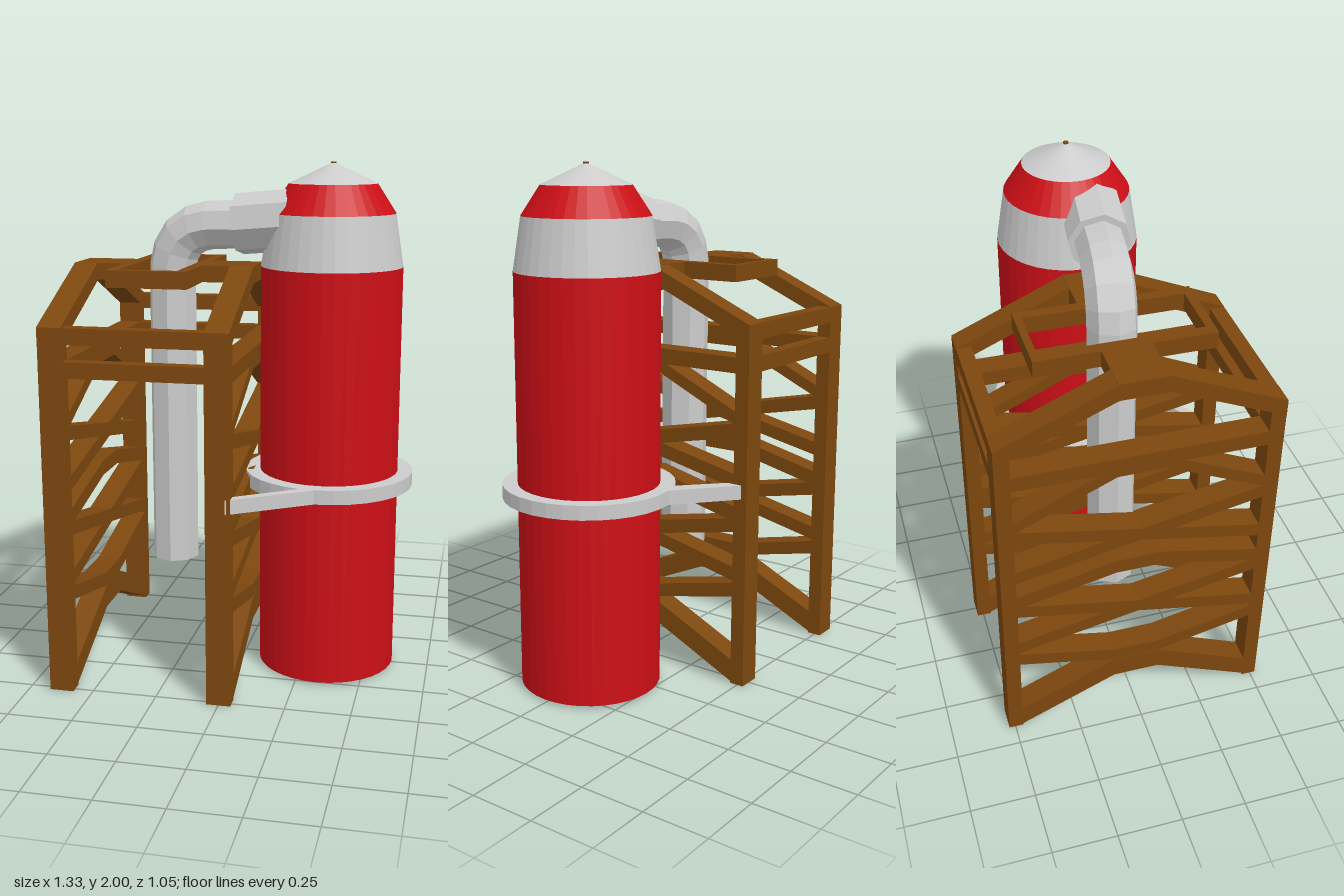
import * as THREE from 'three';

const mat = (color) => new THREE.MeshStandardMaterial({ color, flatShading: true });

export function createModel() {
  const model = new THREE.Group();
  const grey = mat(0xcccccc), red = mat(0xcc0f16), brown = mat(0x7d470e);
  const group = (name) => {
    const g = new THREE.Group();
    g.name = name;
    model.add(g);
    return g;
  };
  const add = (parent, name, geometry, material) => {
    const m = new THREE.Mesh(geometry, material);
    m.name = name;
    parent.add(m);
    return m;
  };
  // box given by its limits on each axis
  const box = (parent, name, [x0, x1], [y0, y1], [z0, z1], material = brown) => {
    const m = add(parent, name, new THREE.BoxGeometry(x1 - x0, y1 - y0, z1 - z0), material);
    m.position.set((x0 + x1) / 2, (y0 + y1) / 2, (z0 + z1) / 2);
    return m;
  };

  // Tank: stacked bands as [name, y0, y1, bottom radius, top radius, material]
  const tank = group('tank');
  tank.position.x = 0.335;
  const bands = [
    ['tankBody', 0.01, 1.61, 0.272, 0.272, red],
    ['shoulder', 1.61, 1.81, 0.272, 0.24, grey],
    ['upperBand', 1.81, 1.92, 0.24, 0.168, red],
    ['cap', 1.92, 1.995, 0.168, 0.008, grey],
    ['tip', 1.99, 2.0, 0.01, 0.01, brown],
  ];
  for (const [name, y0, y1, r0, r1, m] of bands) {
    add(tank, name, new THREE.CylinderGeometry(r1, r0, y1 - y0, 36), m).position.y = (y0 + y1) / 2;
  }

  // Clamp ring around the tank
  const clamp = group('clamp');
  const ringProfile = [[0.27, 0.755], [0.33, 0.755], [0.33, 0.81], [0.27, 0.81], [0.27, 0.755]];
  const ring = add(clamp, 'clampRing',
    new THREE.LatheGeometry(ringProfile.map((p) => new THREE.Vector2(...p)), 32), grey);
  ring.position.x = 0.335;

  // Clamp arms, drawn in plan (x, z) and raised to the ring's height
  const arms = [
    [[0.03, 0.525], [0.045, 0.475], [0.28, 0.315], [0.335, 0.325]],
    [[0.03, -0.515], [0.045, -0.44], [0.2, -0.3], [0.27, -0.32]],
  ];
  for (const pts of arms) {
    const shape = new THREE.Shape(pts.map(([x, z]) => new THREE.Vector2(x, -z)));
    const g = new THREE.ExtrudeGeometry(shape, { depth: 0.055, bevelEnabled: false });
    g.rotateX(-Math.PI / 2).translate(0, 0.755, 0);
    add(clamp, 'clampArm', g, grey);
  }

  // Side trusses: strips follow centre points [z, y] and have height h
  const strip = (parent, name, x1, pts, h, depth = 0.093) => {
    const lower = pts.map(([z, y]) => new THREE.Vector2(z, y - h / 2));
    const upper = pts.map(([z, y]) => new THREE.Vector2(z, y + h / 2)).reverse();
    const g = new THREE.ExtrudeGeometry(new THREE.Shape([...lower, ...upper]), { depth, bevelEnabled: false });
    g.rotateY(-Math.PI / 2).translate(x1, 0, 0);
    add(parent, name, g, brown);
  };
  const mirrored = (half) => [...half, ...half.map(([z, y]) => [-z, y]).reverse()];

  const frame = group('woodenFrame');
  for (const x1 of [-0.575, 0.047]) {
    const xs = [x1 - 0.093, x1];
    for (const s of [-1, 1]) {
      const zs = s > 0 ? [0.465, 0.522] : [-0.525, -0.468];
      box(frame, 'post', xs, [0, 1.4], zs);
    }
    strip(frame, 'roofBeam', x1, mirrored([[0.523, 1.387], [0.09, 1.577]]), 0.066);
    strip(frame, 'sideRail', x1, mirrored([[0.48, 1.265]]), 0.06);
    strip(frame, 'upperChevron', x1, mirrored([[0.48, 1.06], [0.09, 1.24]]), 0.05);
    strip(frame, 'middleChevron', x1, mirrored([[0.48, 0.69], [0.09, 0.78]]), 0.06);
    strip(frame, 'lowerChevron', x1, mirrored([[0.48, 0.39], [0.09, 0.3]]), 0.055);
    strip(frame, 'baseChevron', x1, mirrored([[0.47, 0.052], [0.09, 0.225]]), 0.09);
    // crossed braces
    for (const y of [0.92, 0.55]) {
      for (const s of [-1, 1]) {
        strip(frame, 'crossBrace', x1, [[-0.48, y - s * 0.1], [0.48, y + s * 0.1]], 0.055);
      }
    }
  }

  // Rails across the front and back
  for (const zs of [[0.465, 0.522], [-0.525, -0.468]]) {
    box(frame, 'topRail', [-0.668, 0.047], [1.357, 1.42], zs);
    box(frame, 'lowerRail', [-0.6, -0.02], [1.235, 1.295], zs);
  }

  // Ridge platforms and the rectangular collar around the pipe
  box(frame, 'ridgePlatform', [-0.668, -0.45], [1.545, 1.61], [-0.095, 0.088]);
  box(frame, 'ridgePlatform', [-0.17, 0.047], [1.545, 1.61], [-0.095, 0.088]);
  const rect = (T, x0, x1, y0, y1) => new T([[x0, y0], [x1, y0], [x1, y1], [x0, y1]]
    .map((p) => new THREE.Vector2(...p)));
  const collar = rect(THREE.Shape, -0.467, -0.155, -0.33, 0.335);
  collar.holes.push(rect(THREE.Path, -0.423, -0.198, -0.297, 0.307));
  const collarGeo = new THREE.ExtrudeGeometry(collar, { depth: 0.065, bevelEnabled: false });
  collarGeo.rotateX(-Math.PI / 2).translate(0, 1.545, 0);
  add(frame, 'pipeCollar', collarGeo, brown);

  // Pipe: upright run, bend and short run into the tank
  const pipe = group('pipe');
  const v = (x, y, z) => new THREE.Vector3(x, y, z);
  const path = new THREE.CurvePath();
  path.add(new THREE.LineCurve3(v(-0.297, 0.4, 0), v(-0.297, 1.56, -0.005)));
  path.add(new THREE.QuadraticBezierCurve3(v(-0.297, 1.56, -0.005), v(-0.297, 1.76, -0.005), v(-0.1, 1.76, 0.02)));
  path.add(new THREE.LineCurve3(v(-0.1, 1.76, 0.02), v(0.05, 1.765, 0.038)));
  add(pipe, 'pipeRun', new THREE.TubeGeometry(path, 26, 0.094, 8), grey);
  const cap = add(pipe, 'pipeEnd', new THREE.CircleGeometry(0.094, 8), grey);
  cap.rotation.x = Math.PI / 2;
  cap.position.set(-0.297, 0.4, 0);

  // Wider coupling that enters the tank
  const a = v(-0.02, 1.765, 0.03), b = v(0.2, 1.785, 0.06);
  const coupling = add(pipe, 'coupling', new THREE.CylinderGeometry(0.118, 0.118, a.distanceTo(b), 8), grey);
  coupling.position.copy(a).lerp(b, 0.5);
  coupling.quaternion.setFromUnitVectors(v(0, 1, 0), b.clone().sub(a).normalize());

  return model;
}
